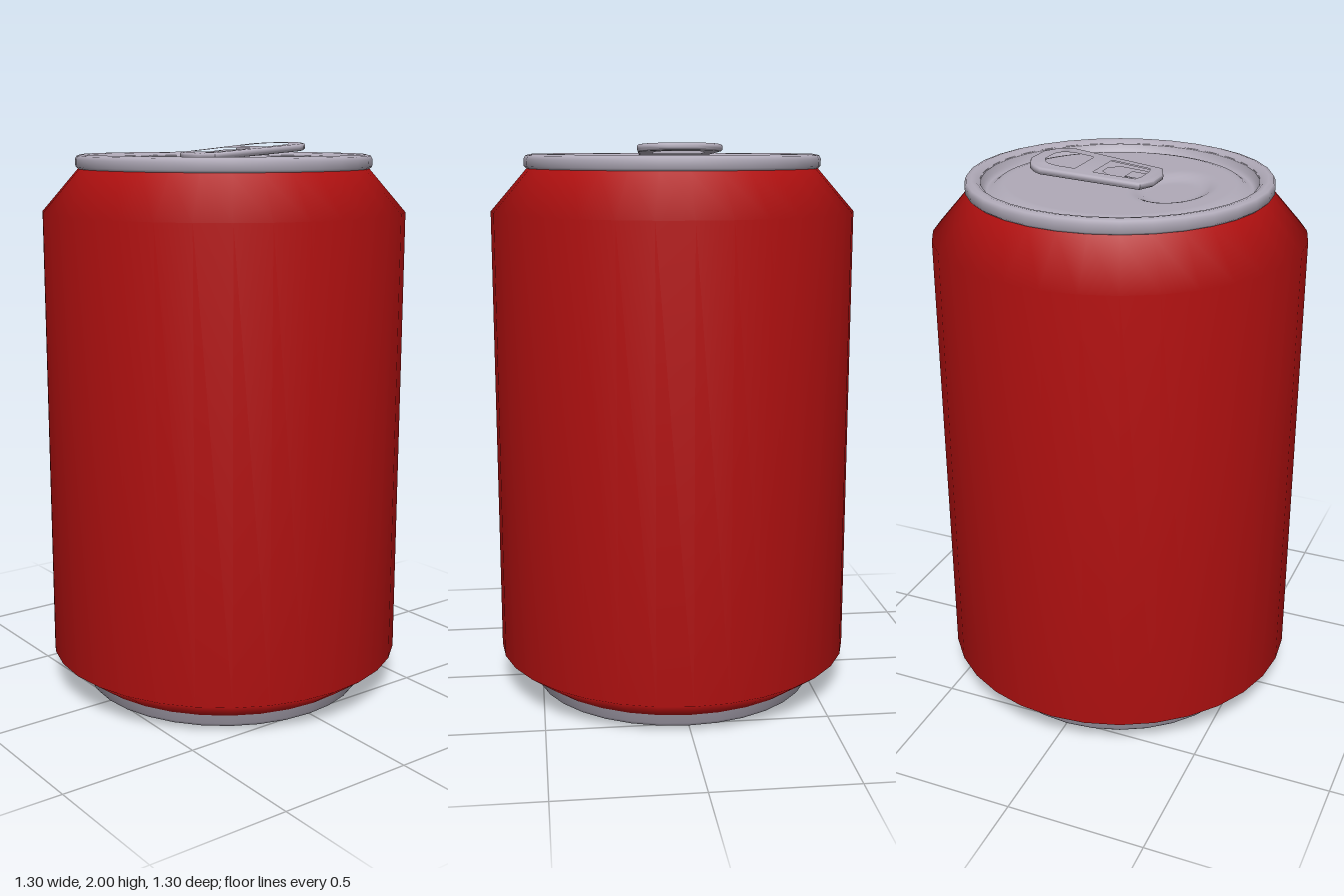
import * as THREE from 'three';
import { mergeVertices, toCreasedNormals } from 'three/addons/utils/BufferGeometryUtils.js';

const red = new THREE.MeshStandardMaterial({ color: 0xb01010 });
red.name = 'red paint';
const silver = new THREE.MeshStandardMaterial({ color: 0xb0aab8 });
silver.name = 'silver metal';

const points = (list) => list.map(([x, y]) => new THREE.Vector2(x, y));

function addMesh(parent, name, geometry, material) {
  const mesh = new THREE.Mesh(geometry, material);
  mesh.name = name;
  parent.add(mesh);
  return mesh;
}

const lathe = (profile, segments = 32) => new THREE.LatheGeometry(points(profile), segments);

// Mirrors the right half of an outline, given as [x, z], into a closed loop
function mirrored(half) {
  const left = half.map(([x, z]) => [-x, z]).reverse();
  return points([...half, ...left].map(([x, z]) => [x, -z]));
}

// Flat plate lying in the xz plane, with rounded edges and its base at y = 0
function plate(outline, holes, height, bevel) {
  const shape = new THREE.Shape(mirrored(outline));
  holes.forEach((hole) => shape.holes.push(new THREE.Path(mirrored(hole))));
  const geometry = new THREE.ExtrudeGeometry(shape, {
    depth: height - 2 * bevel,
    bevelEnabled: bevel > 0,
    bevelThickness: bevel,
    bevelSize: bevel,
    bevelOffset: -bevel,
    bevelSegments: 3,
  });
  geometry.translate(0, 0, bevel);
  geometry.rotateX(-Math.PI / 2);
  return toCreasedNormals(geometry, 0.9);
}

// Recessed top panel with a shallow oval dip at the mouth
function lidPanel() {
  const profile = [[0.477, 1.948], [0.468, 1.924], [0.455, 1.914], [0.44, 1.917], [0.422, 1.93], [0.4, 1.935]];
  const rings = 26;
  for (let i = 1; i <= rings; i++) profile.push([0.4 * (1 - i / rings), 1.935]);
  const geometry = lathe(profile, 64);
  const position = geometry.attributes.position;
  for (let i = 0; i < position.count; i++) {
    const d = Math.hypot(position.getX(i) / 0.2, (position.getZ(i) - 0.195) / 0.14);
    const dip = 1 - THREE.MathUtils.smoothstep(d, 0.64, 1);
    position.setY(i, position.getY(i) - 0.018 * dip);
  }
  geometry.deleteAttribute('uv');
  geometry.deleteAttribute('normal');
  const welded = mergeVertices(geometry);
  welded.computeVertexNormals();
  return welded;
}

function pullTab() {
  const tab = new THREE.Group();
  tab.name = 'pullTab';

  // Rolled frame with a finger hole and a lower opening
  const outline = [[0.05, -0.315], [0.11, -0.288], [0.135, -0.262], [0.147, -0.235], [0.107, 0.115], [0.045, 0.14]];
  const fingerHole = [[0.038, -0.275], [0.07, -0.26], [0.09, -0.235], [0.097, -0.2], [0.09, -0.125]];
  const lowerOpening = [[0.092, -0.075], [0.078, 0.088], [0.04, 0.1]];
  addMesh(tab, 'tabFrame', plate(outline, [fingerHole, lowerOpening], 0.025, 0.009), silver);

  // Sunken web with a slot cut around the rivet tongue
  const web = [[0.105, -0.085], [0.088, 0.1], [0.04, 0.115]];
  const slot = [[0.025, -0.055], [0.06, -0.015], [0.06, 0.085], [0.035, 0.085], [0.035, 0.03]];
  addMesh(tab, 'tabWeb', plate(web, [slot], 0.012, 0), silver).position.y = 0.004;

  const rivet = new THREE.CylinderGeometry(0.025, 0.025, 0.022, 16);
  addMesh(tab, 'rivet', rivet, silver).position.set(0, -0.001, 0.062);

  tab.position.y = 1.951;
  tab.rotation.x = 0.078;
  return tab;
}

export function createModel() {
  const can = new THREE.Group();
  can.name = 'drinkCan';

  // Painted wall with tapered foot and shoulder
  addMesh(can, 'body', lathe([[0.54, 0.05], [0.65, 0.13], [0.65, 1.76], [0.52, 1.91]]), red);

  // Foot ring
  const foot = lathe([[0.488, 0.004], [0.495, 0], [0.517, 0], [0.525, 0.012], [0.54, 0.05]]);
  addMesh(can, 'footRing', foot, silver);

  // Underside dome, hollow from below
  const dome = [];
  for (let i = 0; i <= 10; i++) {
    const t = i / 10;
    dome.push([0.488 * t, 0.004 + 0.11 * (1 - t * t)]);
  }
  addMesh(can, 'bottomDome', lathe(dome), silver);

  // Rolled rim
  const rim = [[0.505, 1.908], [0.52, 1.91], [0.529, 1.918], [0.53, 1.943], [0.524, 1.955],
    [0.507, 1.96], [0.49, 1.957], [0.475, 1.945]];
  addMesh(can, 'topRim', lathe(rim), silver);

  addMesh(can, 'lidPanel', lidPanel(), silver);
  can.add(pullTab());
  return can;
}
